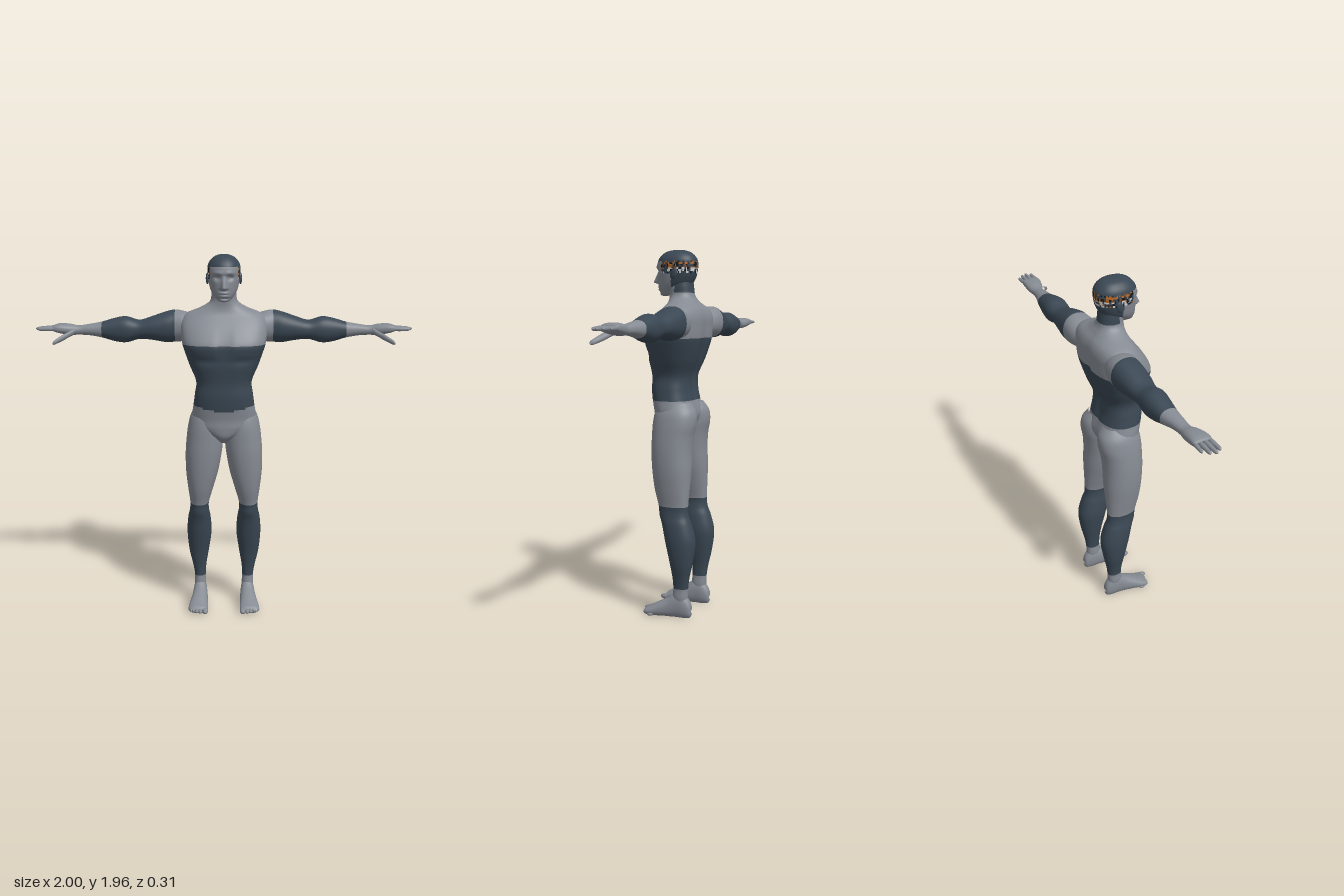
import * as THREE from 'three';

const paint = (name, color) => Object.assign(new THREE.MeshStandardMaterial({ color }), { name });
const skin = paint('light grey', 0x868b93);
const suit = paint('dark slate', 0x3a4753);
const orange = paint('orange', 0xb5672a);
const white = paint('off white', 0xd5d7d8);
const black = paint('black', 0x15181b);
const MATS = [skin, suit, orange, white, black];

// For each loft axis: [axis, side a, side b] as component indices, wound outward
const AXES = { x: [0, 2, 1], y: [1, 0, 2], z: [2, 1, 0] };
AXES.z = [2, 1, 0];

// Smooth loft through keys [t, a0, a1, b0, b1, exponent]; colour picks a material index per face
function loft(axis, keys, { seg = 40, sub = 6, colour = () => 0, shape } = {}) {
  const [T, A, B] = AXES[axis];
  const rows = [];
  const key = i => keys[Math.max(0, Math.min(keys.length - 1, i))];
  for (let i = 0; i < keys.length - 1; i++) {
    for (let s = 0; s < sub + (i === keys.length - 2 ? 1 : 0); s++) {
      const u = s / sub;
      rows.push([0, 1, 2, 3, 4, 5].map(c => {
        const [p, q, r, w] = [-1, 0, 1, 2].map(o => key(i + o)[c] ?? 2.2);
        return 0.5 * (2 * q + (r - p) * u + (2 * p - 5 * q + 4 * r - w) * u * u + (3 * q - p - 3 * r + w) * u ** 3);
      }));
    }
  }
  const pos = [], v = new THREE.Vector3();
  const bend = (c, e) => Math.sign(c) * Math.abs(c) ** (2 / e);
  for (const [t, a0, a1, b0, b1, e] of rows) {
    for (let j = 0; j < seg; j++) {
      const g = (j / seg) * Math.PI * 2;
      v.setComponent(T, t);
      v.setComponent(A, (a0 + a1) / 2 + ((a1 - a0) / 2) * bend(Math.cos(g), e));
      v.setComponent(B, (b0 + b1) / 2 + ((b1 - b0) / 2) * bend(Math.sin(g), e));
      if (shape) shape(v);
      pos.push(v.x, v.y, v.z);
    }
  }
  const faces = MATS.map(() => []);
  const mid = (a, d, k) => (pos[a * 3 + k] + pos[d * 3 + k]) / 2;
  for (let i = 0; i < rows.length - 1; i++) {
    for (let j = 0; j < seg; j++) {
      const a = i * seg + j, b = i * seg + (j + 1) % seg, c = a + seg, d = b + seg;
      faces[colour(mid(a, d, 0), mid(a, d, 1), mid(a, d, 2))].push(a, c, b, b, c, d);
    }
  }
  const geo = new THREE.BufferGeometry();
  geo.setAttribute('position', new THREE.Float32BufferAttribute(pos, 3));
  geo.setIndex(faces.flat());
  let start = 0;
  faces.forEach((f, m) => {
    if (f.length) geo.addGroup(start, f.length, m);
    start += f.length;
  });
  geo.computeVertexNormals();
  return geo;
}

function mirrored(geo) {
  const g = geo.clone(), id = g.index.array;
  for (const n of ['position', 'normal']) {
    const at = g.attributes[n];
    for (let i = 0; i < at.count; i++) at.setX(i, -at.getX(i));
  }
  for (let i = 0; i < id.length; i += 3) [id[i], id[i + 1]] = [id[i + 1], id[i]];
  return g;
}

const bump = (d, w) => Math.exp(-((d / w) ** 2));
const sym = ([y, w, z0, z1, e]) => [y, -w, w, z0, z1, e];

export function createModel() {
  const model = new THREE.Group();
  model.name = 'figure';
  const add = (name, geo, mat = MATS) => {
    const m = new THREE.Mesh(geo, mat);
    m.name = name;
    model.add(m);
  };
  const pair = (name, geo, mat = MATS) => {
    add('left' + name, geo, mat);
    add('right' + name, mirrored(geo), mat);
  };

  // Torso and neck, with chest and spine grooves
  add('torso', loft('y', [
    [0.965, 0.025, -0.03, 0.06], [1.0, 0.065, -0.07, 0.105], [1.05, 0.15, -0.1, 0.115], [1.1, 0.172, -0.115, 0.115],
    [1.17, 0.163, -0.1, 0.125, 2.4], [1.23, 0.155, -0.088, 0.13, 2.5], [1.3, 0.148, -0.09, 0.13, 2.5],
    [1.38, 0.18, -0.12, 0.14, 2.6], [1.45, 0.205, -0.14, 0.148, 2.8], [1.5, 0.22, -0.15, 0.15, 2.9],
    [1.56, 0.228, -0.153, 0.12, 2.8], [1.61, 0.225, -0.152, 0.085, 2.7], [1.65, 0.2, -0.138, 0.055, 2.5],
    [1.685, 0.12, -0.11, 0.045], [1.72, 0.072, -0.088, 0.045], [1.77, 0.066, -0.08, 0.05], [1.82, 0.06, -0.075, 0.04],
  ].map(sym), {
    seg: 72,
    colour: (x, y, z) => {
      if (y > 1.735) return z < 0 ? 1 : 0;
      const hip = z > 0 ? Math.min(1.17, 1.14 + 0.22 * Math.abs(x)) : 1.17;
      return y > hip && y < 1.5 ? 1 : 0;
    },
    shape: v => {
      if (v.z < -0.03) v.z += 0.018 * bump(v.x, 0.025) * bump(v.y - 1.38, 0.2);
      else if (v.z > 0.03) {
        v.z -= 0.012 * bump(v.x, 0.02) * bump(v.y - 1.5, 0.07);
        v.z -= 0.008 * bump(v.y - 1.42, 0.02) * bump(Math.abs(v.x) - 0.1, 0.08);
      }
    },
  }));

  // Head: brow, eye sockets, nose, lips; cap and broken band round the back
  add('head', loft('y', [
    [1.72, 0.004, 0.068, 0.085], [1.723, 0.02, 0.05, 0.099], [1.732, 0.036, 0.01, 0.106], [1.755, 0.055, -0.03, 0.11],
    [1.78, 0.07, -0.07, 0.112], [1.815, 0.079, -0.092, 0.114], [1.85, 0.084, -0.101, 0.116], [1.89, 0.086, -0.104, 0.116],
    [1.92, 0.077, -0.094, 0.103], [1.945, 0.054, -0.068, 0.076], [1.957, 0.026, -0.035, 0.042], [1.96, 0.001, 0.002, 0.005],
  ].map(sym), {
    seg: 120, sub: 10,
    colour: (x, y, z) => {
      if (y > 1.9) return 1;
      if (y < 1.835) return z > 0.015 ? 0 : 1;
      if (z > 0.07) return 0;
      const n = Math.abs(Math.sin(Math.floor(Math.atan2(x, z) * 11) * 12.99 + Math.floor(y / 0.011) * 78.23) * 43758.5) % 1;
      if (y > 1.865) return n < 0.35 ? 2 : n < 0.6 ? 4 : 1;
      return n < 0.35 ? 3 : n < 0.55 ? 4 : n < 0.65 ? 2 : 1;
    },
    shape: v => {
      if (v.z < 0.04) return;
      const { x, y } = v;
      v.z -= 0.014 * bump(Math.abs(x) - 0.034, 0.017) * bump(y - 1.845, 0.014);
      v.z += 0.006 * bump(Math.abs(x) - 0.03, 0.03) * bump(y - 1.868, 0.011);
      const n = THREE.MathUtils.clamp((1.855 - y) / 0.06, 0, 1) * THREE.MathUtils.smoothstep(y, 1.779, 1.793);
      v.z += 0.034 * n * bump(x, 0.009 + 0.006 * n);
      v.z += 0.007 * bump(x, 0.022) * (bump(y - 1.768, 0.006) + bump(y - 1.752, 0.006));
      v.z -= 0.006 * bump(x, 0.03) * bump(y - 1.74, 0.006);
    },
  }));
  const ear = new THREE.SphereGeometry(1, 16, 12).scale(0.009, 0.03, 0.018).rotateX(-0.2).translate(0.086, 1.835, -0.01);
  pair('Ear', ear, suit);

  // Arms, dark from shoulder to mid forearm, running into the palms
  pair('Arm', loft('x', [
    [0.14, -0.13, 0.0, 1.51, 1.63], [0.2, -0.15, 0.015, 1.5, 1.655], [0.26, -0.155, 0.006, 1.495, 1.665],
    [0.31, -0.15, 0.008, 1.493, 1.655], [0.38, -0.14, 0.003, 1.505, 1.632], [0.45, -0.13, -0.008, 1.51, 1.612],
    [0.52, -0.135, -0.005, 1.492, 1.63], [0.58, -0.13, -0.012, 1.497, 1.622], [0.65, -0.118, -0.022, 1.517, 1.602],
    [0.72, -0.1, -0.028, 1.53, 1.59], [0.775, -0.093, -0.03, 1.533, 1.583], [0.82, -0.1, -0.014, 1.533, 1.592],
    [0.87, -0.102, -0.004, 1.543, 1.594, 2.6], [0.9, -0.1, -0.006, 1.552, 1.588, 2.8], [0.908, -0.09, -0.015, 1.56, 1.58],
  ], { colour: x => (x > 0.26 && x < 0.65 ? 1 : 0) }));

  // Fingers and thumb: tapered lofts from base to rounded tip
  const finger = (a, b, r) => loft('x', [[0, 1], [0.3, 0.9], [0.5, 0.98], [0.75, 0.82], [0.93, 0.66], [1, 0.05]].map(([t, s]) => {
    const [x, y, z] = a.map((c, k) => c + (b[k] - c) * t);
    return [x, z - r * s, z + r * s, y - r * s, y + r * s];
  }), { seg: 12, sub: 3 });
  [[-0.088, -0.095, 0.965, 0.0105], [-0.065, -0.068, 0.99, 0.012], [-0.041, -0.041, 1.0, 0.0125], [-0.017, -0.014, 0.985, 0.012]]
    .forEach(([z0, z1, tip, r], i) => pair('Finger' + (i + 1), finger([0.87, 1.57, z0], [tip, 1.568, z1], r)));
  pair('Thumb', finger([0.79, 1.557, -0.03], [0.9, 1.5, 0.043], 0.0165));

  // Legs and buttocks, dark below the knee
  pair('Leg', loft('y', [
    [0.06, 0.108, 0.162, -0.105, -0.035], [0.11, 0.102, 0.168, -0.108, -0.025], [0.16, 0.104, 0.166, -0.11, -0.028],
    [0.22, 0.1, 0.176, -0.118, -0.025], [0.31, 0.085, 0.196, -0.137, -0.01], [0.42, 0.07, 0.206, -0.15, 0.015],
    [0.51, 0.075, 0.2, -0.13, 0.034], [0.56, 0.083, 0.19, -0.112, 0.05], [0.61, 0.083, 0.187, -0.108, 0.056],
    [0.7, 0.058, 0.198, -0.112, 0.08], [0.8, 0.03, 0.208, -0.116, 0.095], [0.9, 0.012, 0.209, -0.115, 0.102],
    [0.98, 0.004, 0.203, -0.122, 0.102], [1.05, 0.002, 0.194, -0.136, 0.1], [1.11, 0.004, 0.178, -0.132, 0.09],
    [1.16, 0.015, 0.145, -0.1, 0.07],
  ], { colour: (x, y) => (y > 0.16 && y < 0.61 ? 1 : 0) }));

  // Feet with flat soles
  pair('Foot', loft('z', [
    [-0.131, 0.025, 0.045, 0.125, 0.142], [-0.122, 0.002, 0.085, 0.11, 0.158], [-0.09, -0.006, 0.125, 0.1, 0.168],
    [-0.045, -0.006, 0.132, 0.096, 0.172], [0.0, -0.006, 0.103, 0.092, 0.178], [0.05, -0.006, 0.077, 0.09, 0.188],
    [0.095, -0.005, 0.053, 0.089, 0.197], [0.122, 0, 0.04, 0.092, 0.194], [0.132, 0.01, 0.028, 0.1, 0.185],
  ], { shape: v => { v.y = Math.max(0, v.y); } }));
  for (let i = 0; i < 5; i++) {
    const r = i ? 0.0125 - i * 0.0007 : 0.017;
    const toe = new THREE.SphereGeometry(r, 14, 10).scale(1, 0.95, 1.9)
      .translate(0.105 + (i ? 0.006 : 0) + i * 0.0195, r, 0.126 - i * i * 0.0022);
    pair('Toe' + (i + 1), toe, skin);
  }
  return model;
}
